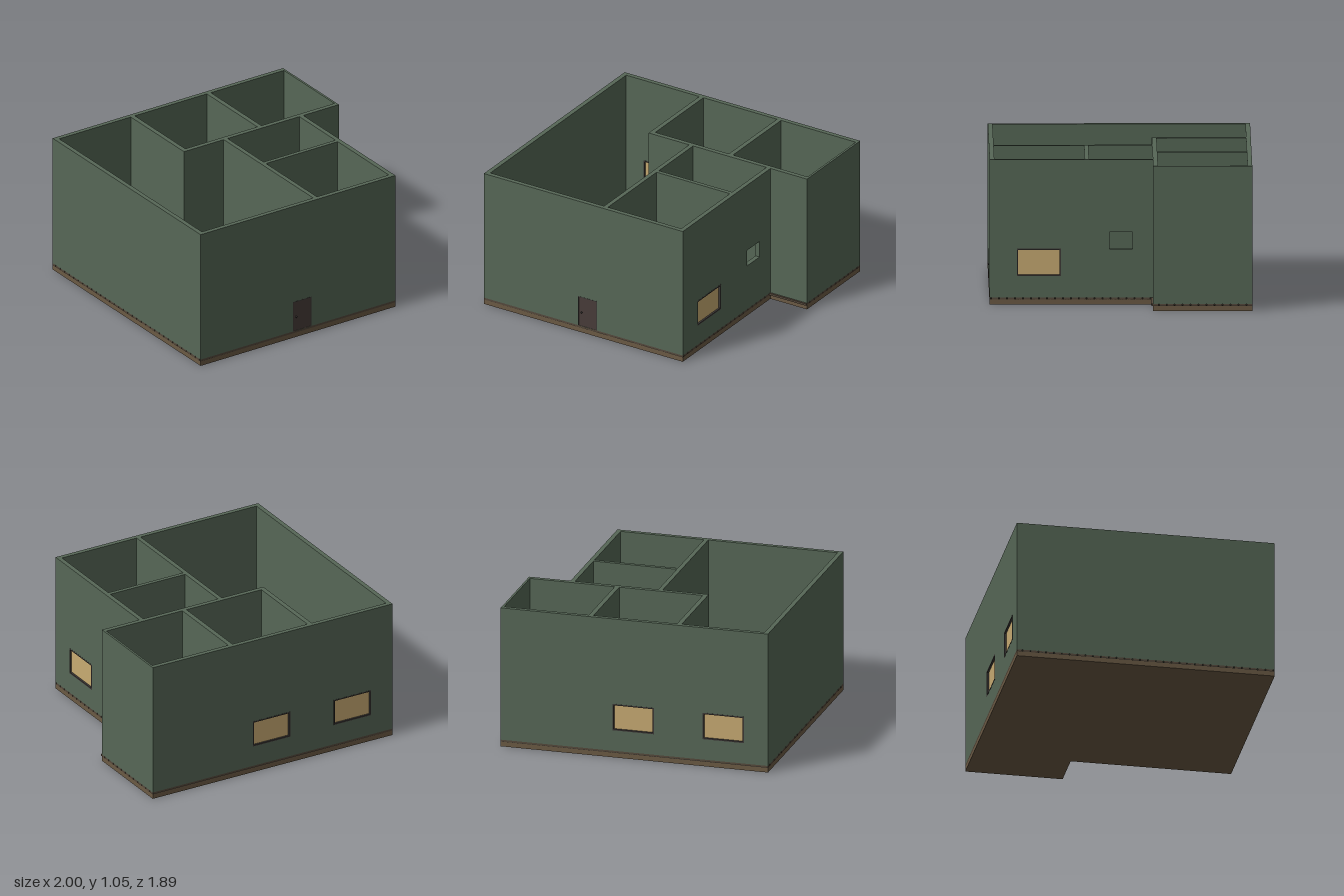
import * as THREE from 'three';

const mat = (color) => new THREE.MeshStandardMaterial({ color, side: THREE.DoubleSide });
const MAT = {
  wall: mat(0x566756), slab: mat(0x6b5a44), plank: mat(0x54483b), gap: mat(0x2c261f),
  frame: mat(0x3c3836), pane: mat(0xc8ab72), door: mat(0x483c39), knob: mat(0x2a2625),
};
const TOP = 1.05, FLOOR = 0.05, SLAB = 0.035;
const BACK = -0.94, STEP = -0.23, FRONT = 0.94, LEFT = -1, RIGHT = 1, INSET = 0.69;

function add(parent, name, geometry, material, x = 0, y = 0, z = 0) {
  const mesh = new THREE.Mesh(geometry, material);
  mesh.name = name;
  mesh.position.set(x, y, z);
  parent.add(mesh);
  return mesh;
}

function rectPath(Type, u0, u1, y0, y1) {
  const p = new Type();
  p.moveTo(u0, y0);
  p.lineTo(u1, y0);
  p.lineTo(u1, y1);
  p.lineTo(u0, y1);
  p.closePath();
  return p;
}

const extrude = (shape, depth) => new THREE.ExtrudeGeometry(shape, { depth, bevelEnabled: false });

// Dark frame through the wall with a recessed glowing pane
function addWindow(parent, [u0, u1, y0, y1], t) {
  const ring = rectPath(THREE.Shape, u0, u1, y0, y1), b = 0.01;
  ring.holes.push(rectPath(THREE.Path, u0 + b, u1 - b, y0 + b, y1 - b));
  add(parent, 'windowFrame', extrude(ring, t + 0.002), MAT.frame, 0, 0, -0.001);
  add(parent, 'windowPane', new THREE.BoxGeometry(u1 - u0 - 2 * b, y1 - y0 - 2 * b, 0.008),
    MAT.pane, (u0 + u1) / 2, (y0 + y1) / 2, t / 2);
}

// Door leaf filling its opening, with a trim and a knob on each face
function addDoor(parent, [u0, u1, y0, y1], t, knobU) {
  const trim = new THREE.Shape([[u0, y0], [u0 + 0.006, y0], [u0 + 0.006, y1 - 0.006], [u1 - 0.006, y1 - 0.006],
    [u1 - 0.006, y0], [u1, y0], [u1, y1], [u0, y1]].map(([x, y]) => new THREE.Vector2(x, y)));
  add(parent, 'doorFrame', extrude(trim, t + 0.002), MAT.frame, 0, 0, -0.001);
  add(parent, 'door', new THREE.BoxGeometry(u1 - u0 - 0.012, y1 - y0 - 0.006, t - 0.004),
    MAT.door, (u0 + u1) / 2, (y0 + y1 - 0.006) / 2, t / 2);
  for (const z of [0, t]) add(parent, 'doorKnob', new THREE.SphereGeometry(0.007, 12, 8), MAT.knob, knobU, 0.16, z);
}

// A wall runs along x or z from u0 to u1; low and high are its two faces on the other axis
function addWall(house, name, axis, u0, u1, low, high, { windows = [], openings = [], door, knob, base = FLOOR } = {}) {
  const group = new THREE.Group(), t = high - low;
  group.name = name;
  const shape = rectPath(THREE.Shape, u0, u1, base, TOP);
  for (const o of [...windows, ...openings]) shape.holes.push(rectPath(THREE.Path, ...o));
  if (door) shape.holes.push(rectPath(THREE.Path, door[0], door[1], door[2] + 0.0005, door[3]));
  add(group, name + 'Panel', extrude(shape, t), MAT.wall);
  for (const w of windows) addWindow(group, w, t);
  if (door) addDoor(group, door, t, knob);
  if (axis === 'x') group.position.z = low;
  else {
    group.rotation.y = -Math.PI / 2;
    group.position.x = high;
  }
  house.add(group);
}

export function createModel() {
  const house = new THREE.Group();
  house.name = 'house';

  // L-shaped foundation slab
  const plan = new THREE.Shape([[LEFT, -FRONT], [INSET, -FRONT], [INSET, -STEP], [RIGHT, -STEP],
    [RIGHT, -BACK], [LEFT, -BACK]].map(([x, y]) => new THREE.Vector2(x, y)));
  const slab = add(house, 'foundation', extrude(plan, SLAB), MAT.slab);
  slab.rotation.x = -Math.PI / 2;

  // Dark bed showing between the boards
  const bed = add(house, 'floorBed', extrude(plan, 0.004), MAT.gap, 0, SLAB, 0);
  bed.rotation.x = -Math.PI / 2;

  // Floorboards running along x
  const pitch = 0.0571, gap = 0.007;
  for (let z = -0.955; z < FRONT; z += pitch) {
    const z0 = Math.max(z + gap / 2, BACK), z1 = Math.min(z + pitch - gap / 2, FRONT);
    if (z1 - z0 < 0.005) continue;
    const end = (z0 + z1) / 2 < STEP ? RIGHT : INSET;
    add(house, 'floorboard', new THREE.BoxGeometry(end - LEFT, FLOOR - SLAB, z1 - z0), MAT.plank,
      (LEFT + end) / 2, (FLOOR + SLAB) / 2, (z0 + z1) / 2);
  }

  // Outer walls
  const T = 0.034;
  addWall(house, 'frontWall', 'x', LEFT, INSET, FRONT - T, FRONT,
    { door: [-0.2, -0.04, FLOOR, 0.285], knob: -0.17 });
  addWall(house, 'backWall', 'x', LEFT, RIGHT, BACK, BACK + T,
    { windows: [[-0.82, -0.51, 0.205, 0.405], [-0.147, 0.164, 0.205, 0.405]] });
  addWall(house, 'rightWall', 'z', BACK + T, FRONT - T, LEFT, LEFT + T);
  addWall(house, 'leftWall', 'z', STEP, FRONT - T, INSET - T, INSET,
    { windows: [[0.43, 0.745, 0.205, 0.405]], openings: [[-0.085, 0.08, 0.4, 0.525]] });
  addWall(house, 'rearLeftWall', 'z', BACK + T, STEP - T, RIGHT - 0.016, RIGHT);

  // Room dividers
  addWall(house, 'middleDivider', 'x', -0.345, RIGHT, STEP - T, STEP,
    { door: [-0.257, -0.097, FLOOR, 0.285], knob: -0.227, base: SLAB });
  addWall(house, 'rearDividerA', 'z', BACK + T, STEP - T, -0.345, -0.31);
  addWall(house, 'rearDividerB', 'z', BACK + T, STEP - T, 0.315, 0.35,
    { door: [-0.5, -0.34, FLOOR, 0.285], knob: -0.47 });
  addWall(house, 'frontDivider', 'z', STEP, FRONT - T, 0, 0.033);
  addWall(house, 'sideDivider', 'x', 0.033, INSET - T, 0.228, 0.258);

  return house;
}
